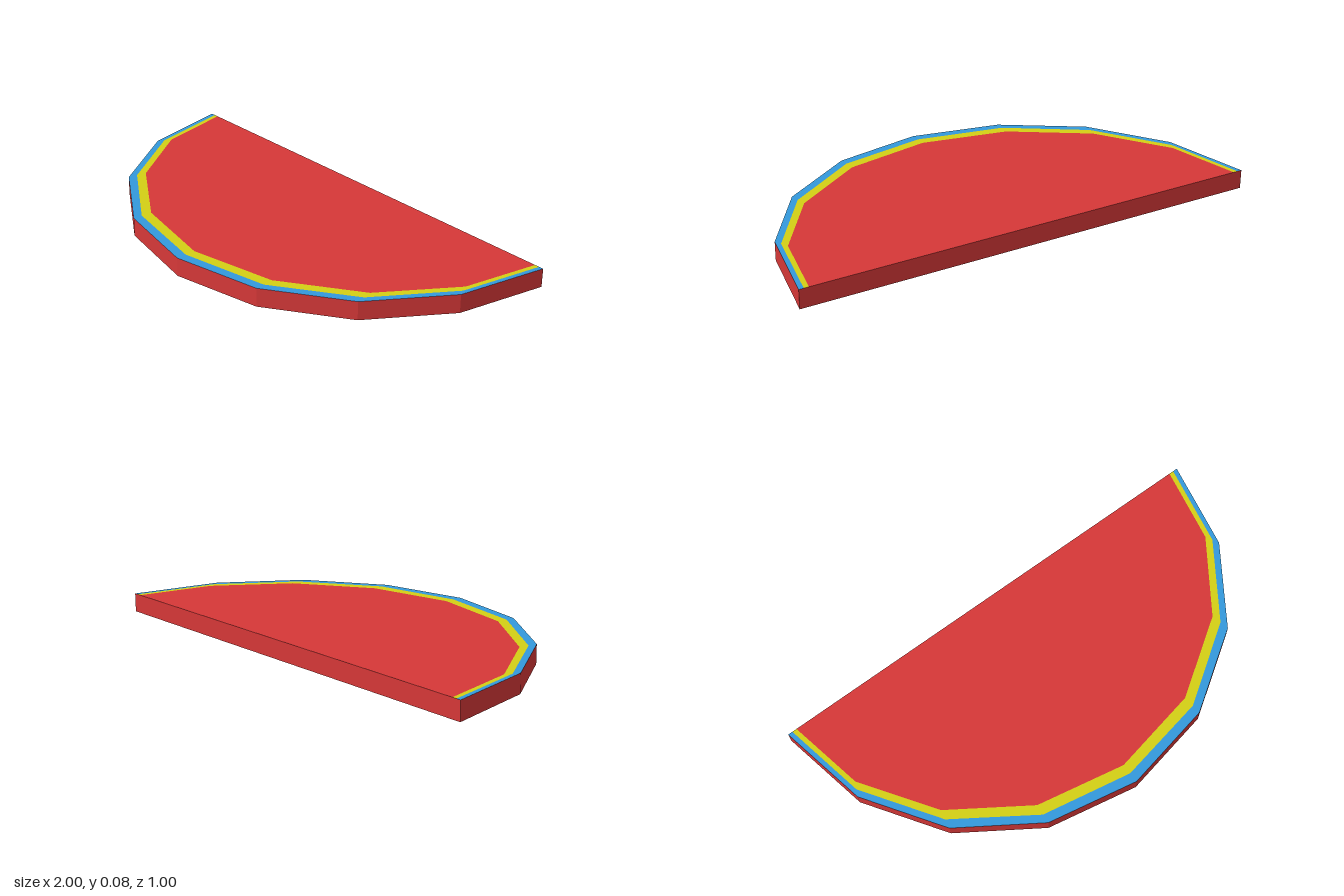
import * as THREE from 'three';

const HEIGHT = 0.08;
const BACK = -0.5;

function mat(name, color) {
  const m = new THREE.MeshStandardMaterial({ color });
  m.name = name;
  return m;
}

// Mirror a half outline (+x rim to front centre) into a full one, as [x, z] pairs
function mirror(half) {
  return [...half, ...half.slice(0, -1).reverse().map(([x, z]) => [-x, z])];
}

// Flat horizontal face from [x, z] points, facing up or down
function face(name, points, y, up, material) {
  const shape = new THREE.Shape(points.map(([x, z]) => new THREE.Vector2(x, up ? -z : z)));
  const geo = new THREE.ShapeGeometry(shape);
  geo.rotateX(up ? -Math.PI / 2 : Math.PI / 2);
  geo.translate(0, y, 0);
  const mesh = new THREE.Mesh(geo, material);
  mesh.name = name;
  return mesh;
}

// Flat-faced wall around a closed outline
function wall(name, points, material) {
  const pos = [];
  points.forEach(([ax, az], i) => {
    const [bx, bz] = points[(i + 1) % points.length];
    pos.push(bx, 0, bz, ax, 0, az, ax, HEIGHT, az);
    pos.push(bx, 0, bz, ax, HEIGHT, az, bx, HEIGHT, bz);
  });
  const geo = new THREE.BufferGeometry();
  geo.setAttribute('position', new THREE.Float32BufferAttribute(pos, 3));
  geo.computeVertexNormals();
  const mesh = new THREE.Mesh(geo, material);
  mesh.name = name;
  return mesh;
}

export function createModel() {
  const red = mat('red', 0xd63838);
  const blue = mat('blue', 0x3399dd);
  const yellow = mat('yellow', 0xd4d015);
  const black = mat('charcoal', 0x444444);
  const brown = mat('brown', 0x7f5a10);

  // Half-round outline in eight straight segments
  const outer = mirror(Array.from({ length: 5 }, (_, i) => {
    const a = (i * Math.PI) / 8;
    return [Math.cos(a), BACK + Math.sin(a)];
  }));
  const middle = mirror([[0.98, BACK], [0.91, -0.145], [0.7, 0.168], [0.38, 0.385], [0, 0.458]]);
  const inner = mirror([[0.96, BACK], [0.895, -0.174], [0.69, 0.128], [0.375, 0.34], [0, 0.415]]);
  const band = (a, b) => [...a, ...[...b].reverse()];

  const group = new THREE.Group();
  group.name = 'halfRoundPlatform';

  // Sides and top with its two border stripes
  group.add(wall('sideWall', outer, red));
  group.add(face('topPanel', inner, HEIGHT, true, red));
  group.add(face('innerStripe', band(middle, inner), HEIGHT, true, yellow));
  group.add(face('outerStripe', band(outer, middle), HEIGHT, true, blue));

  // Underside, split into a back strip and the rest
  const splitZ = -0.285;
  const t = (splitZ - BACK) / (outer[1][1] - BACK);
  const splitX = 1 + (outer[1][0] - 1) * t;
  const right = [-splitX, splitZ];
  const left = [splitX, splitZ];
  group.add(face('undersideBackStrip', [[1, BACK], left, right, [-1, BACK]], 0, false, brown));
  group.add(face('underside', [left, ...outer.slice(1, -1), right], 0, false, black));
  return group;
}
